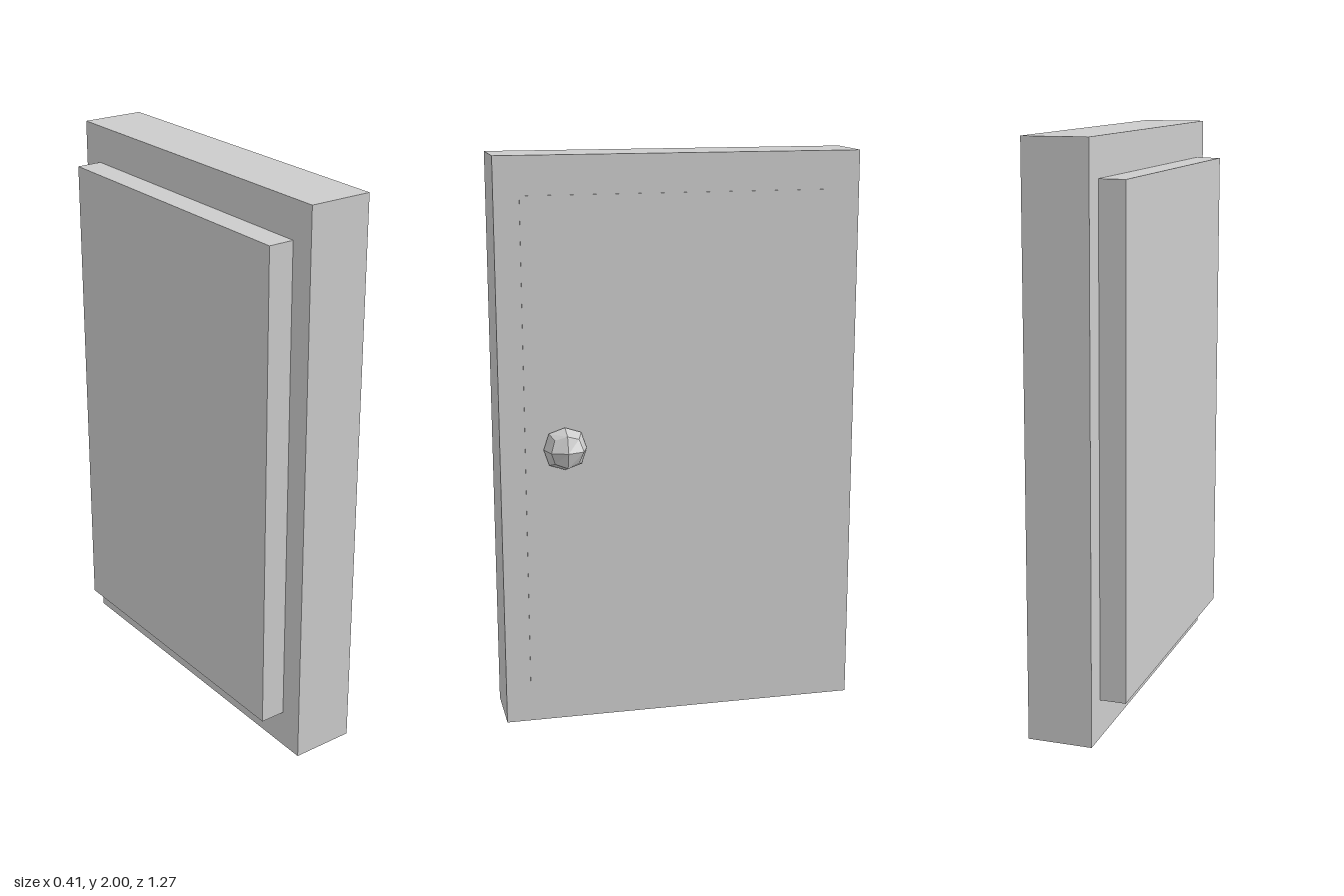
import * as THREE from 'three';

const material = new THREE.MeshStandardMaterial({ color: 0xcccccc, flatShading: true });

// Box given by its lower and upper corners
function slab(name, min, max) {
  const size = max.map((v, i) => v - min[i]);
  const mesh = new THREE.Mesh(new THREE.BoxGeometry(...size), material);
  mesh.position.set(...max.map((v, i) => (v + min[i]) / 2));
  mesh.name = name;
  return mesh;
}

// Cube split 2x2 per face and rounded off: edge and corner points are pulled inwards
function roundedCube(radius) {
  const geometry = new THREE.BoxGeometry(2, 2, 2, 2, 2, 2);
  const pos = geometry.attributes.position;
  const pull = [0, 1, 0.75, 0.556];
  const v = new THREE.Vector3();
  for (let i = 0; i < pos.count; i++) {
    v.fromBufferAttribute(pos, i);
    const used = v.toArray().filter((c) => Math.abs(c) > 0.5).length;
    v.multiplyScalar(radius * pull[used]);
    pos.setXYZ(i, v.x, v.y, v.z);
  }
  geometry.computeVertexNormals();
  return geometry;
}

export function createModel() {
  const group = new THREE.Group();
  group.name = 'door';

  // Outer slab
  group.add(slab('doorFrame', [-0.114, 0, -0.634], [0.111, 2, 0.634]));

  // Inner panel, deep on one side and barely proud on the knob side
  group.add(slab('doorPanel', [-0.205, 0.135, -0.549], [0.1135, 1.868, 0.547]));

  // Knob, half sunk into the panel
  const knob = new THREE.Mesh(roundedCube(0.075), material);
  knob.name = 'knob';
  knob.position.set(0.129, 1.003, 0.411);
  group.add(knob);

  return group;
}
